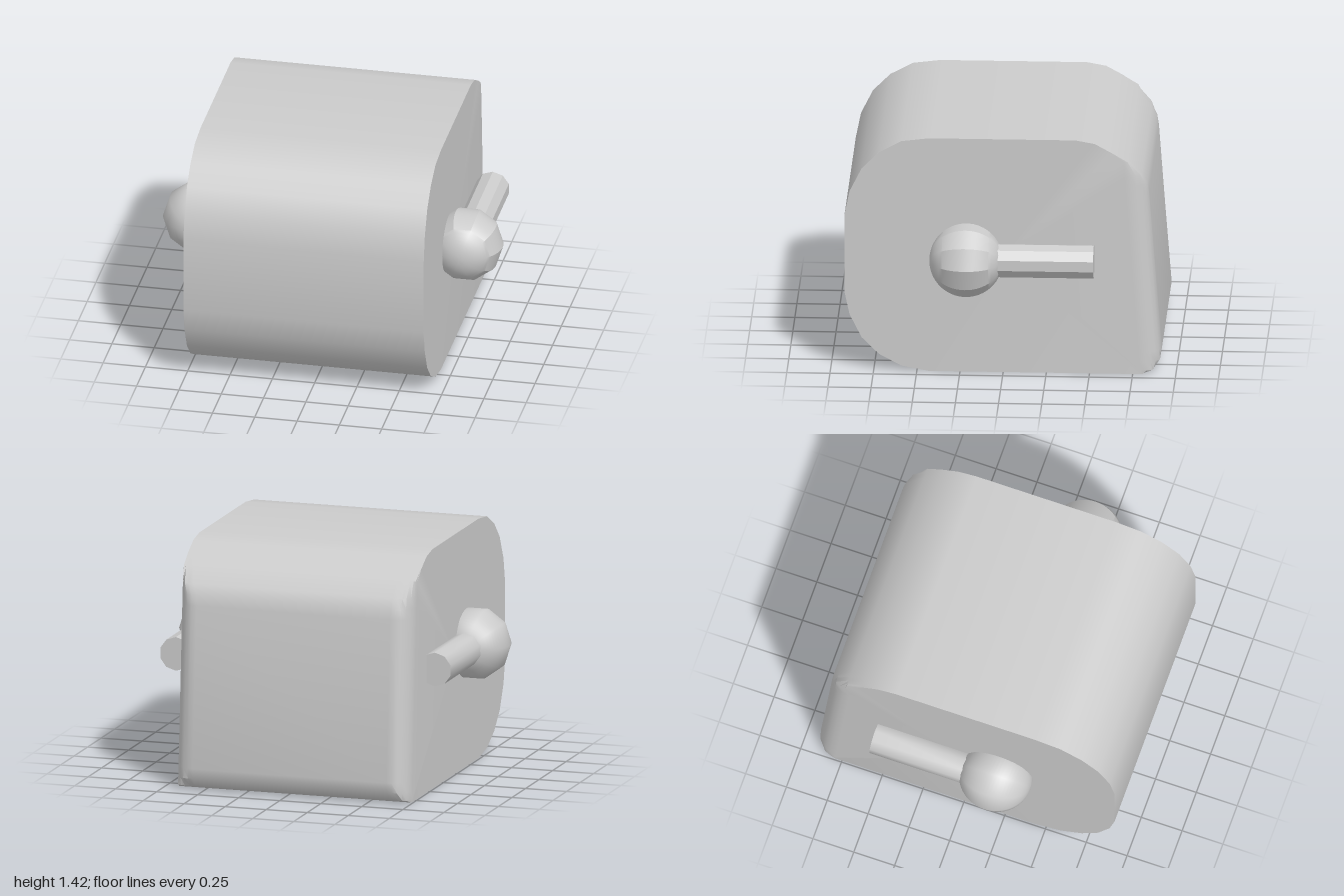
import * as THREE from 'three';
import { toCreasedNormals } from 'three/addons/utils/BufferGeometryUtils.js';

// Side outline of the body as [z, y], from the bottom front over the top to the back
const PROFILE = [
  [0.43, 0], [0.59, 0.03], [0.72, 0.1], [0.82, 0.2], [0.89, 0.34], [0.92, 0.48],
  [0.92, 0.94], [0.89, 1.09], [0.82, 1.23], [0.72, 1.33], [0.59, 1.4], [0.43, 1.42],
  [-0.42, 1.42], [-0.53, 1.4], [-0.63, 1.345], [-0.72, 1.29], [-0.8, 1.2], [-0.83, 1.14], [-0.84, 1.08],
  [-0.915, 0.13], [-0.905, 0.07], [-0.87, 0.02], [-0.81, 0.0],
];

// Body: the outline swept along x, with the back face rounded off towards both sides
function bodyGeometry(x0, x1) {
  const steps = 6, roundX = 0.12, roundZ = 0.13;
  const stations = [];
  for (let i = 0; i <= steps; i++) {
    const a = (i / steps) * Math.PI / 2;
    stations.push([x0 + roundX * (1 - Math.cos(a)), roundZ * (1 - Math.sin(a))]);
  }
  for (let i = steps; i >= 0; i--) stations.push([x1 - (stations[i][0] - x0), stations[i][1]]);

  const n = PROFILE.length, positions = [], index = [];
  for (const [x, inset] of stations) {
    for (const [z, y] of PROFILE) {
      const back = -0.925 + 0.075 * y + inset;
      positions.push(x, y, Math.max(z, back));
    }
  }
  for (let i = 0; i < stations.length - 1; i++) {
    for (let j = 0; j < n; j++) {
      const a = i * n + j, b = i * n + (j + 1) % n;
      index.push(a, a + n, b, b, a + n, b + n);
    }
  }
  // Flat side caps
  const last = (stations.length - 1) * n, centre = positions.length / 3;
  positions.push(x0, 0.7, 0, x1, 0.7, 0);
  for (let j = 0; j < n; j++) {
    const k = (j + 1) % n;
    index.push(centre, j, k, centre + 1, last + k, last + j);
  }
  const geometry = new THREE.BufferGeometry();
  geometry.setAttribute('position', new THREE.Float32BufferAttribute(positions, 3));
  geometry.setIndex(index);
  return toCreasedNormals(geometry, 0.65);
}

export function createModel() {
  const model = new THREE.Group();
  const material = new THREE.MeshStandardMaterial({ color: 0xcccccc });
  const add = (parent, name, geometry) => {
    const mesh = new THREE.Mesh(geometry, material);
    mesh.name = name;
    parent.add(mesh);
    return mesh;
  };

  add(model, 'body', bodyGeometry(-0.74, 0.68));

  // Ball and rod on each side; the left pair is faceted, the right pair smooth
  const sides = [['left', 0.787, 0.715, 0.5], ['right', -0.79, 0.733, 0.8]];
  for (const [side, x, y, crease] of sides) {
    const arm = new THREE.Group();
    arm.name = side + 'Arm';
    arm.position.set(x, y, 0.21);
    const ball = new THREE.SphereGeometry(0.213, 10, 32).rotateX(Math.PI / 2);
    add(arm, side + 'Ball', toCreasedNormals(ball, crease));
    const rod = new THREE.CylinderGeometry(0.1, 0.1, 0.64, 10).rotateX(Math.PI / 2);
    add(arm, side + 'Rod', toCreasedNormals(rod, crease)).position.z = -0.42;
    model.add(arm);
  }
  return model;
}
